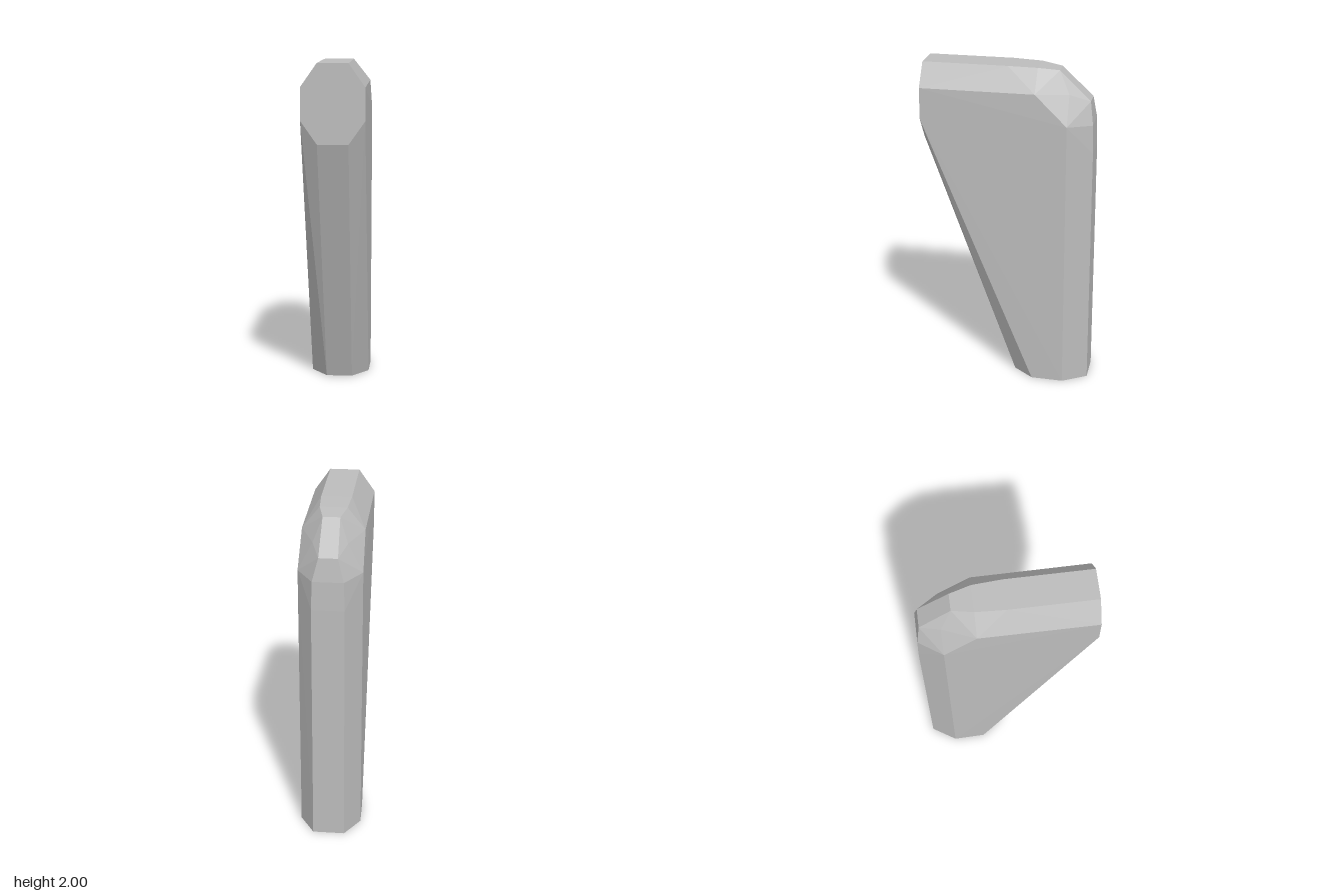
import * as THREE from 'three';
import { ConvexGeometry } from 'three/addons/geometries/ConvexGeometry.js';

// Right-half corners of each octagonal ring [x, y, z], mirrored across x
const frontRing = [[0.09, 2, 0.51], [0.185, 1.865, 0.51], [0.185, 1.675, 0.51], [0.09, 1.54, 0.51]];
const bottomRing = [[0.095, 0, -0.51], [0.185, 0, -0.365], [0.18, 0, -0.17], [0.08, 0, -0.045]];
const topBend = [[0.09, 2, 0], [0.08, 1.995, -0.175], [0.05, 1.98, -0.3]];
const backBend = [[0.055, 1.805, -0.485], [0.09, 1.67, -0.505], [0.095, 1.5, -0.51]];
const shoulder = [[0.183, 1.865, -0.175], [0.1, 1.85, -0.365], [0.187, 1.68, -0.365]];

export function createModel() {
  const group = new THREE.Group();
  group.name = 'bevelledBracket';

  const grey = new THREE.MeshStandardMaterial({ color: 0xbcbcbc });
  grey.name = 'plain grey';

  // Faceted solid spanning the front end, rounded rear corner and foot
  const points = [];
  for (const [x, y, z] of [...frontRing, ...bottomRing, ...topBend, ...backBend, ...shoulder]) {
    for (const side of [-1, 1]) points.push(new THREE.Vector3(side * x, y, z));
  }
  const body = new THREE.Mesh(new ConvexGeometry(points), grey);
  body.name = 'body';
  group.add(body);

  return group;
}
